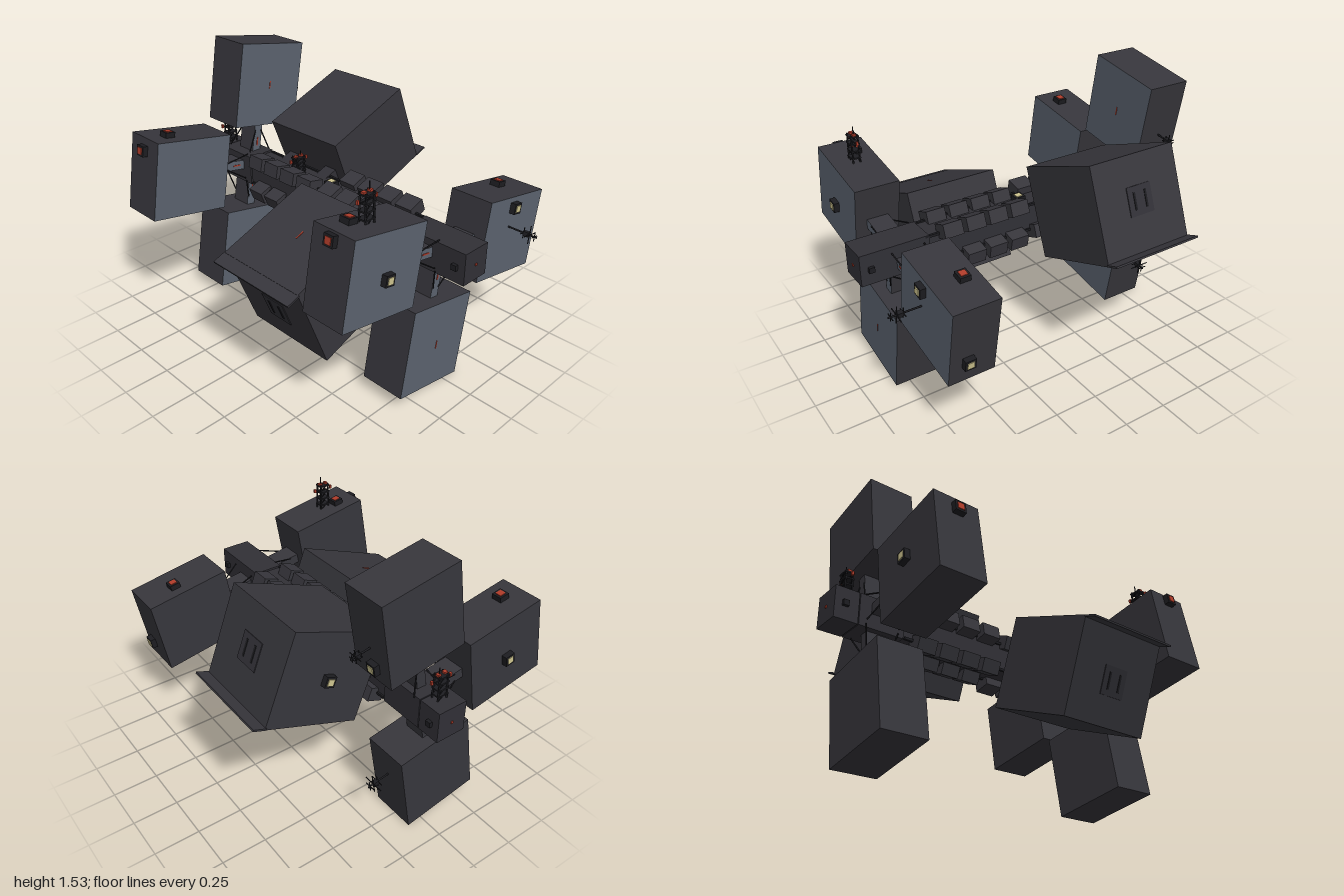
import * as THREE from 'three';

const mat = (name, hex) => {
  const m = new THREE.MeshStandardMaterial({ color: hex });
  m.name = name;
  return m;
};

export function createModel() {
  const hull = mat('charcoal hull', 0x37363c);
  const facade = mat('blue grey facade', 0x5b636f);
  const spineGrey = mat('spine grey', 0x313036);
  const black = mat('black metal', 0x1d1d21);
  const red = mat('signal red', 0xb03c2a);
  const glow = mat('pale yellow window', 0xd0c690);
  const fronted = [hull, hull, hull, hull, facade, hull];

  const root = new THREE.Group();
  root.name = 'station';

  const group = (parent, name, x = 0, y = 0, z = 0) => {
    const g = new THREE.Group();
    g.name = name;
    g.position.set(x, y, z);
    parent.add(g);
    return g;
  };
  const box = (parent, name, material, w, h, d, x = 0, y = 0, z = 0) => {
    const m = new THREE.Mesh(new THREE.BoxGeometry(w, h, d), material);
    m.name = name;
    m.position.set(x, y, z);
    parent.add(m);
    return m;
  };
  const up = new THREE.Vector3(0, 1, 0);
  const rod = (parent, name, a, b, r = 0.004) => {
    const p = new THREE.Vector3(...a), q = new THREE.Vector3(...b);
    const m = new THREE.Mesh(new THREE.CylinderGeometry(r, r, p.distanceTo(q), 6), black);
    m.name = name;
    m.position.copy(p).add(q).multiplyScalar(0.5);
    m.quaternion.setFromUnitVectors(up, q.sub(p).normalize());
    parent.add(m);
  };
  // Group whose +y points along a face normal
  const mount = (parent, name, pos, normal) => {
    const g = group(parent, name, ...pos);
    g.quaternion.setFromUnitVectors(up, new THREE.Vector3(...normal));
    return g;
  };

  // Framed lamp standing out of a face
  const lamp = (parent, name, pos, normal, pane) => {
    const g = mount(parent, name, pos, normal);
    box(g, 'lampHousing', black, 0.058, 0.03, 0.058, 0, 0.015, 0);
    box(g, 'lampPane', pane, 0.036, 0.006, 0.036, 0, 0.031, 0);
    return g;
  };

  // Slim mast with crossbars
  const antenna = (parent, name, pos, normal, length, bar = 0.1) => {
    const g = mount(parent, name, pos, normal);
    rod(g, 'mast', [0, 0, 0], [0, length, 0], 0.005);
    for (const [t, s] of [[0.55, 0.6], [0.75, 1], [0.92, 0.5]]) {
      rod(g, 'crossbar', [-bar * s / 2, length * t, 0], [bar * s / 2, length * t, 0], 0.003);
      rod(g, 'crossbar', [0, length * t, -bar * s / 2], [0, length * t, bar * s / 2], 0.003);
    }
    box(g, 'antennaBox', black, 0.025, 0.03, 0.025, 0, length * 0.65, 0);
    return g;
  };

  // Lattice tower with red lights
  const tower = (parent, name, x, y, z, h) => {
    const g = group(parent, name, x, y, z);
    for (const sx of [-1, 1]) for (const sz of [-1, 1]) {
      rod(g, 'towerPole', [sx * 0.028, 0, sz * 0.02], [sx * 0.025, h, sz * 0.018], 0.005);
    }
    for (let i = 1; i <= 4; i++) {
      const yy = h * i / 4;
      box(g, 'towerDeck', black, 0.065, 0.008, 0.05, 0, yy - 0.01, 0);
      rod(g, 'towerBrace', [-0.028, yy - h / 4, 0.02], [0.028, yy, 0.02], 0.003);
      rod(g, 'towerBrace', [0.028, yy - h / 4, -0.02], [-0.028, yy, -0.02], 0.003);
    }
    for (const s of [-1, 1]) {
      rod(g, 'towerArm', [0, h * 0.73, 0], [s * 0.06, h * 0.73, 0], 0.003);
      box(g, 'towerLight', red, 0.012, 0.02, 0.012, s * 0.058, h * 0.78, 0);
      box(g, 'towerLight', red, 0.02, 0.01, 0.02, s * 0.02, h, 0);
    }
    rod(g, 'towerTip', [0.015, h, 0], [0.015, h * 1.28, 0], 0.003);
    return g;
  };

  // Central spine with end blocks
  const cy = 0.766;
  box(root, 'spine', spineGrey, 0.15, 0.15, 1.9, 0, cy, -0.02);
  for (const [z, s, d] of [[0.895, 1, 0.13], [-0.93, -1, 0.13], [0.705, 1, 0.25], [-0.735, -1, 0.25]]) {
    box(root, 'spineBlock', spineGrey, 0.17, 0.172, d, 0, cy, z);
    if (d < 0.2) {
      for (const sx of [-1, 1]) box(root, 'sideKnob', black, 0.022, 0.03, 0.03, sx * 0.092, cy, z + s * 0.01);
      box(root, 'endLight', red, 0.012, 0.012, 0.006, 0, cy, z + s * (d / 2 + 0.002));
    }
  }
  for (const s of [-1, 1]) {
    for (const y of [0.69, 0.842]) box(root, 'spineRail', black, 0.014, 0.014, 1.2, s * 0.078, y, 0);
  }
  lamp(root, 'spineWindow', [0, 0.842, -0.015], [0, 1, 0], glow);
  tower(root, 'spineTower', 0, 0.852, -0.9, 0.14);
  tower(root, 'middleTower', 0, 0.84, -0.28, 0.1);

  // Rows of crates along the spine
  for (let i = 0; i < 4; i++) {
    for (const s of [1, -1]) {
      const z = s > 0 ? 0.065 + i * 0.134 : -0.095 - i * 0.134;
      for (const [dx, dy, a] of [[0.093, 0.092, 0.37], [0.092, -0.092, -0.2], [-0.085, 0.085, 0.37]]) {
        const c = box(root, 'crate', hull, 0.095, 0.075, 0.108, s * dx, cy + s * dy, z);
        c.rotation.z = a;
      }
    }
  }

  // Small pods around both ends
  const tilt = -0.17;
  const pod = (name, x, y, z, upright) => {
    const g = group(root, name, x, y, z);
    g.rotation.z = tilt;
    const w = upright ? 0.446 : 0.477, h = upright ? 0.477 : 0.44;
    box(g, 'podBody', fronted, w, h, 0.25);
    // Arm and stays to the spine
    const sx = upright ? 0 : -Math.sign(x), sy = upright ? Math.sign(cy - y) : 0;
    const arm = group(g, 'arm', sx * 0.36, sy * 0.36, 0);
    box(arm, 'armBeam', fronted, upright ? 0.055 : 0.27, upright ? 0.27 : 0.055, 0.12);
    box(arm, 'armStripe', red, upright ? 0.008 : 0.05, upright ? 0.05 : 0.008, 0.004, 0, 0, 0.061);
    for (const s of [-1, 1]) for (const e of [-1, 1]) {
      const a = upright ? [s * 0.075, sy * 0.05, e * 0.09] : [sx * 0.05, s * 0.075, e * 0.09];
      const b = upright ? [s * 0.02, -sy * 0.07, e * 0.06] : [-sx * 0.07, s * 0.02, e * 0.06];
      rod(arm, 'stay', a, b);
    }
    return g;
  };

  const zf = 0.705, zb = -0.735;
  const rightFront = pod('rightFrontPod', -0.491, 0.857, zf, false);
  lamp(rightFront, 'frontWindow', [0, -0.01, 0.125], [0, 0, 1], glow);
  lamp(rightFront, 'roofBeacon', [-0.115, 0.22, -0.035], [0, 1, 0], red);
  lamp(rightFront, 'sideBeacon', [-0.238, 0.18, 0], [-1, 0, 0], red);
  tower(root, 'roofTower', -0.49, 1.07, 0.705, 0.16);

  const leftFront = pod('leftFrontPod', 0.488, 0.681, zf, false);
  lamp(leftFront, 'frontWindow', [-0.026, 0.163, 0.125], [0, 0, 1], glow);
  lamp(leftFront, 'sideWindow', [0.238, -0.1, 0.03], [1, 0, 0], glow);
  lamp(leftFront, 'roofBeacon', [0.045, 0.22, -0.035], [0, 1, 0], red);
  antenna(leftFront, 'frontAntenna', [-0.033, 0.055, 0.125], [0, 0, 1], 0.17, 0.1);

  const lowFront = pod('lowerFrontPod', -0.09, 0.278, zf, true);
  const rightBack = pod('rightBackPod', -0.491, 0.857, zb, false);
  lamp(rightBack, 'backWindow', [0, -0.01, -0.125], [0, 0, -1], glow);
  lamp(rightBack, 'roofBeacon', [-0.115, 0.22, 0.025], [0, 1, 0], red);
  lamp(rightBack, 'sideBeacon', [-0.238, 0.15, 0], [-1, 0, 0], red);

  const lowBack = pod('lowerBackPod', -0.09, 0.278, zb, true);
  antenna(lowBack, 'sideAntenna', [0.223, 0.07, 0], [1, 0, 0], 0.13, 0.12);

  const topBack = pod('upperBackPod', 0.085, 1.26, zb, true);
  lamp(topBack, 'sideWindow', [0.223, -0.155, -0.025], [1, 0, 0], glow);
  antenna(topBack, 'sideAntenna', [0.223, -0.06, 0], [1, 0, 0], 0.11, 0.08);

  // Small red marks on the upright pods
  for (const g of [lowFront, lowBack, topBack]) {
    box(g, 'frontMark', red, 0.005, 0.045, 0.004, 0, 0, 0.126);
  }

  // Two large blocks, turned half round the spine from each other
  for (const [name, s, z, d] of [['leftLargeBlock', 1, -0.2975, 0.525], ['rightLargeBlock', -1, 0.2675, 0.535]]) {
    const g = group(root, name, s * 0.4, cy + s * 0.159, z);
    g.rotation.z = 0.372 + (s < 0 ? Math.PI : 0);
    box(g, 'blockBody', hull, 0.557, 0.5, d);
    box(g, 'edgeFin', hull, 0.075, 0.01, d + 0.01, 0.312, -0.243, 0);
    // Outer hatch
    box(g, 'hatchFrame', spineGrey, 0.008, 0.15, 0.15, 0.279, 0.02, 0);
    for (const e of [-1, 1]) box(g, 'hatchSlot', black, 0.008, 0.09, 0.012, 0.282, 0.02, e * 0.035);
    // Connectors to the spine
    for (const e of [-1, 1]) box(g, 'connector', spineGrey, 0.12, 0.1, 0.08, -0.31, 0, e * 0.15);
    if (s > 0) lamp(g, 'backWindow', [0, 0, -d / 2], [0, 0, -1], glow);
    else box(g, 'sideMark', red, 0.05, 0.004, 0.006, 0, -0.251, 0);
  }

  return root;
}
